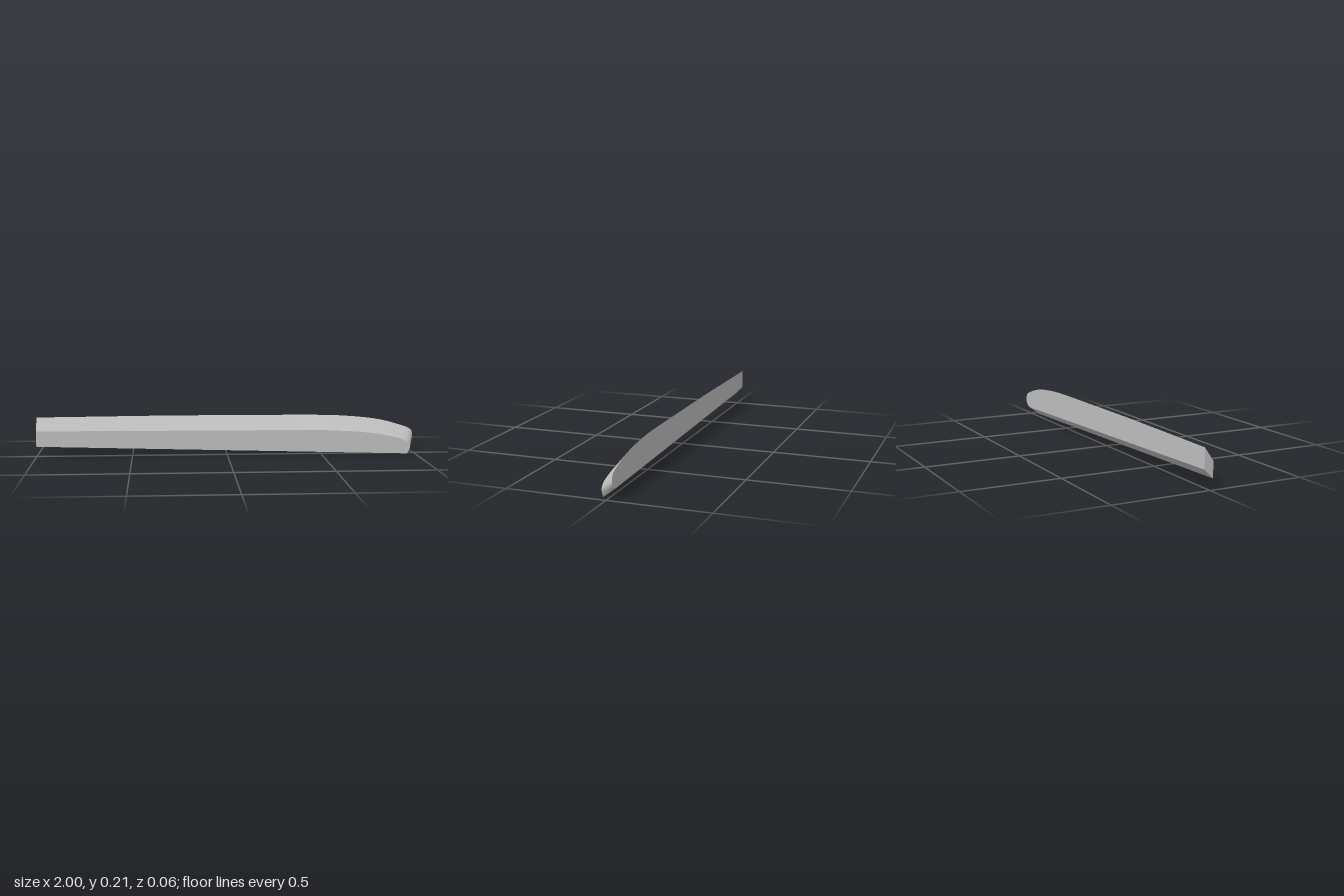
import * as THREE from 'three';
import { toCreasedNormals } from 'three/addons/utils/BufferGeometryUtils.js';

// The front face is a plane that gets closer to the back towards the square end
const BACK_Z = -0.031;
const frontZ = (x) => 0.023 + 0.008 * x;

// Nose control points [x, y], from the top edge round to the lower edge
const backNose = [[0.4, 0.205], [0.6, 0.2], [0.8, 0.18], [0.92, 0.15], [0.99, 0.12], [1, 0.088], [0.99, 0.062], [0.955, 0.047]];
const frontNose = [[0.4, 0.131], [0.57, 0.127], [0.77, 0.112], [0.88, 0.092], [0.955, 0.066], [0.975, 0.043], [0.97, 0.02], [0.96, 0]];

// Closed outline, anticlockwise as seen from the front
function outline(lowerEnd, nose, upper) {
  const curve = new THREE.CatmullRomCurve3(nose.map(([x, y]) => new THREE.Vector3(x, y, 0)));
  const bend = curve.getPoints(35).reverse().map((p) => new THREE.Vector2(p.x, p.y));
  return [new THREE.Vector2(...lowerEnd), ...bend, ...upper.map((p) => new THREE.Vector2(...p))];
}

function barGeometry() {
  const back = outline([-1, 0.1], backNose, [[-0.3, 0.207], [-1, 0.202]]);
  const front = outline([-1, 0.054], frontNose, [[-0.3, 0.133], [-1, 0.135]]);
  const n = back.length;
  const b = back.map((p) => [p.x, p.y, BACK_Z]);
  const f = front.map((p) => [p.x, p.y, frontZ(p.x)]);
  const positions = [];
  const tri = (...corners) => corners.forEach((c) => positions.push(...c));

  // Slanted walls between the two outlines, including the square end
  for (let i = 0; i < n; i++) {
    const j = (i + 1) % n;
    tri(f[i], b[i], b[j]);
    tri(f[i], b[j], f[j]);
  }
  // Flat front and back faces
  for (const [i, j, k] of THREE.ShapeUtils.triangulateShape(front, [])) tri(f[i], f[j], f[k]);
  for (const [i, j, k] of THREE.ShapeUtils.triangulateShape(back, [])) tri(b[i], b[k], b[j]);

  const geometry = new THREE.BufferGeometry();
  geometry.setAttribute('position', new THREE.Float32BufferAttribute(positions, 3));
  return toCreasedNormals(geometry, 0.55);
}

export function createModel() {
  const group = new THREE.Group();
  group.name = 'roundedBar';
  const grey = new THREE.MeshStandardMaterial({ color: 0xc0c0c0 });
  grey.name = 'light grey';
  const bar = new THREE.Mesh(barGeometry(), grey);
  bar.name = 'bar';
  group.add(bar);
  return group;
}
